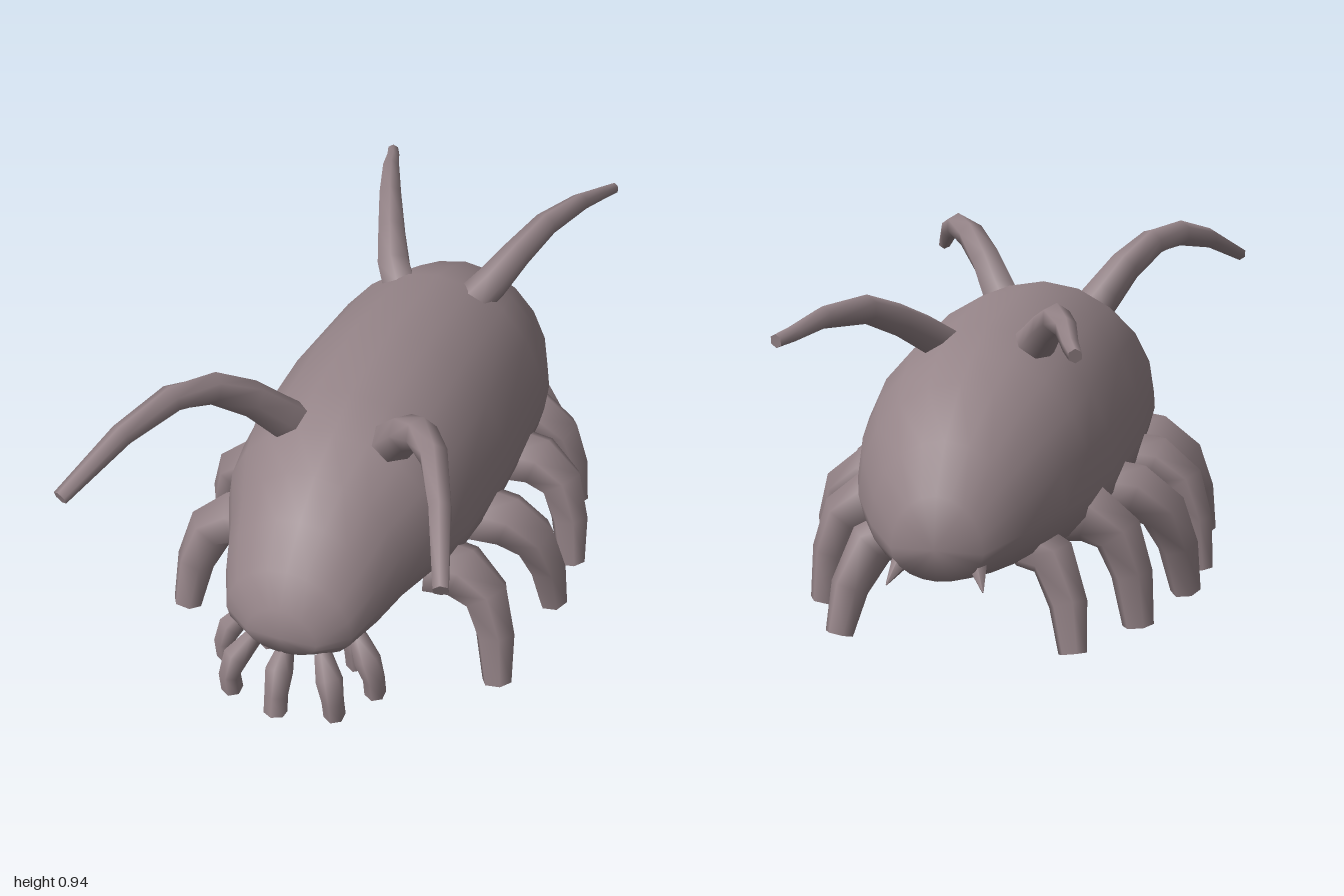
import * as THREE from 'three';

const skin = new THREE.MeshStandardMaterial({ color: 0x958488 });
skin.name = 'mauveSkin';

// Skins a list of rings (arrays of Vector3, counter-clockwise seen from the far end)
function loft(rings, name, startTip, endTip) {
  const n = rings[0].length, pos = [], idx = [];
  const add = (v) => pos.push(v.x, v.y, v.z) / 3 - 1;
  rings.forEach((ring) => ring.forEach(add));
  for (let i = 0; i < rings.length - 1; i++) {
    for (let j = 0; j < n; j++) {
      const a = i * n + j, b = i * n + ((j + 1) % n);
      idx.push(a, b, a + n, b, b + n, a + n);
    }
  }
  // Ends: a shared smooth pole when a tip is given, otherwise a flat cap with its own corners
  const cap = (ring, first, tip, flip) => {
    const centre = tip || ring.reduce((s, v) => s.add(v), new THREE.Vector3()).divideScalar(n);
    const c = add(centre);
    const start = tip ? first : pos.length / 3;
    if (!tip) ring.forEach(add);
    for (let j = 0; j < n; j++) {
      const a = start + j, b = start + ((j + 1) % n);
      if (flip) idx.push(c, b, a); else idx.push(c, a, b);
    }
  };
  cap(rings[0], 0, startTip, true);
  cap(rings[rings.length - 1], (rings.length - 1) * n, endTip, false);
  const g = new THREE.BufferGeometry();
  g.setAttribute('position', new THREE.Float32BufferAttribute(pos, 3));
  g.setIndex(idx);
  g.computeVertexNormals();
  const mesh = new THREE.Mesh(g, skin);
  mesh.name = name;
  return mesh;
}

// Tapered limb through points [x, y, z, radius]; side mirrors it, axis steadies the rings
function limb(points, name, side, axis, sides = 6, widen = 1) {
  const p = points.map(([x, y, z]) => new THREE.Vector3(x * side, y, z));
  const rings = p.map((c, i) => {
    const t = p[Math.min(i + 1, p.length - 1)].clone().sub(p[Math.max(i - 1, 0)]).normalize();
    const u = axis.clone().cross(t).normalize();
    const v = t.clone().cross(u);
    return Array.from({ length: sides }, (_, j) => {
      const a = (j / sides) * Math.PI * 2, r = points[i][3];
      return c.clone().addScaledVector(u, r * Math.cos(a)).addScaledVector(v, r * widen * Math.sin(a));
    });
  });
  return loft(rings, name);
}

export function createModel() {
  const model = new THREE.Group();
  model.name = 'seaCreature';
  const X = new THREE.Vector3(1, 0, 0), Z = new THREE.Vector3(0, 0, 1);

  // Body sections from head to tail: z, top, bottom, half width
  const sections = [
    [0.805, 0.42, 0.28, 0.1], [0.755, 0.51, 0.25, 0.18], [0.66, 0.61, 0.245, 0.225],
    [0.56, 0.69, 0.25, 0.26], [0.43, 0.745, 0.26, 0.32], [0.3, 0.79, 0.21, 0.345],
    [0, 0.815, 0.167, 0.36], [-0.38, 0.785, 0.17, 0.352], [-0.52, 0.74, 0.177, 0.325],
    [-0.65, 0.685, 0.19, 0.28], [-0.8, 0.575, 0.21, 0.2], [-0.885, 0.45, 0.23, 0.12],
  ];
  const bodyRings = sections.map(([z, top, bottom, w]) => {
    const mid = bottom + 0.36 * (top - bottom);
    return Array.from({ length: 20 }, (_, j) => {
      const a = (j / 20) * Math.PI * 2, s = -Math.sin(a);
      return new THREE.Vector3(w * Math.cos(a), mid + s * (s > 0 ? top - mid : mid - bottom), z);
    });
  });
  model.add(loft(bodyRings, 'body', new THREE.Vector3(0, 0.34, 0.82), new THREE.Vector3(0, 0.32, -0.913)));

  // Walking legs: reach of the foot, z at the hip, z at the foot
  const legs = [[0.475, 0.34, 0.42], [0.52, 0.075, 0.03], [0.515, -0.235, -0.17], [0.435, -0.46, -0.48]];

  for (const side of [1, -1]) {
    const name = side > 0 ? 'left' : 'right';

    // Long curved feelers on the back
    model.add(limb([
      [0.13, 0.69, 0.36, 0.062], [0.165, 0.74, 0.4, 0.058], [0.22, 0.82, 0.46, 0.05],
      [0.29, 0.885, 0.54, 0.044], [0.36, 0.9, 0.64, 0.039], [0.43, 0.865, 0.79, 0.031],
      [0.505, 0.785, 0.99, 0.021],
    ], name + 'FrontFeeler', side, X));
    model.add(limb([
      [0.11, 0.72, -0.37, 0.055], [0.155, 0.765, -0.43, 0.052], [0.2, 0.82, -0.53, 0.044],
      [0.25, 0.868, -0.65, 0.038], [0.31, 0.874, -0.81, 0.029], [0.345, 0.855, -0.92, 0.022],
      [0.37, 0.846, -0.985, 0.018],
    ], name + 'RearFeeler', side, X));

    // Four splayed legs and one upright leg beneath the tail
    legs.forEach(([reach, hip, foot], i) => {
      const d = foot - hip, hipX = reach - 0.22;
      model.add(limb([
        [hipX, 0.31, hip, 0.09], [reach - 0.13, 0.305, hip, 0.083],
        [reach - 0.055, 0.255, hip + d * 0.2, 0.07], [reach - 0.015, 0.15, hip + d * 0.6, 0.057],
        [reach + 0.005, 0.01, foot, 0.043],
      ], name + 'Leg' + (i + 1), side, Z));
    });
    model.add(limb([
      [0.17, 0.27, -0.64, 0.07], [0.245, 0.24, -0.655, 0.065],
      [0.295, 0.13, -0.695, 0.052], [0.315, 0.01, -0.73, 0.038],
    ], name + 'Leg5', side, Z));

    // Feeding tentacles around the mouth
    [[0.1, 0.78, 0.15, 0.81], [0.16, 0.68, 0.22, 0.69], [0.09, 0.58, 0.13, 0.6]].forEach(([x, z, fx, fz], i) => {
      model.add(limb([
        [x, 0.27, z - 0.02, 0.025], [(x + fx) / 2 + 0.01, 0.225, (z + fz) / 2 + 0.01, 0.037],
        [fx, 0.17, fz + 0.01, 0.03], [fx, 0.11, fz, 0.03],
      ], name + 'MouthTentacle' + (i + 1), side, X));
    });

    // Tail spine
    model.add(limb([[0.09, 0.29, -0.84, 0.035], [0.125, 0.22, -0.91, 0.002]], name + 'TailSpine', side, X, 5));
  }

  // Middle mouth tentacle
  model.add(limb([
    [0, 0.27, 0.78, 0.025], [0, 0.235, 0.825, 0.038], [0, 0.17, 0.85, 0.032], [0, 0.115, 0.86, 0.032],
  ], 'middleMouthTentacle', 1, X));

  return model;
}
